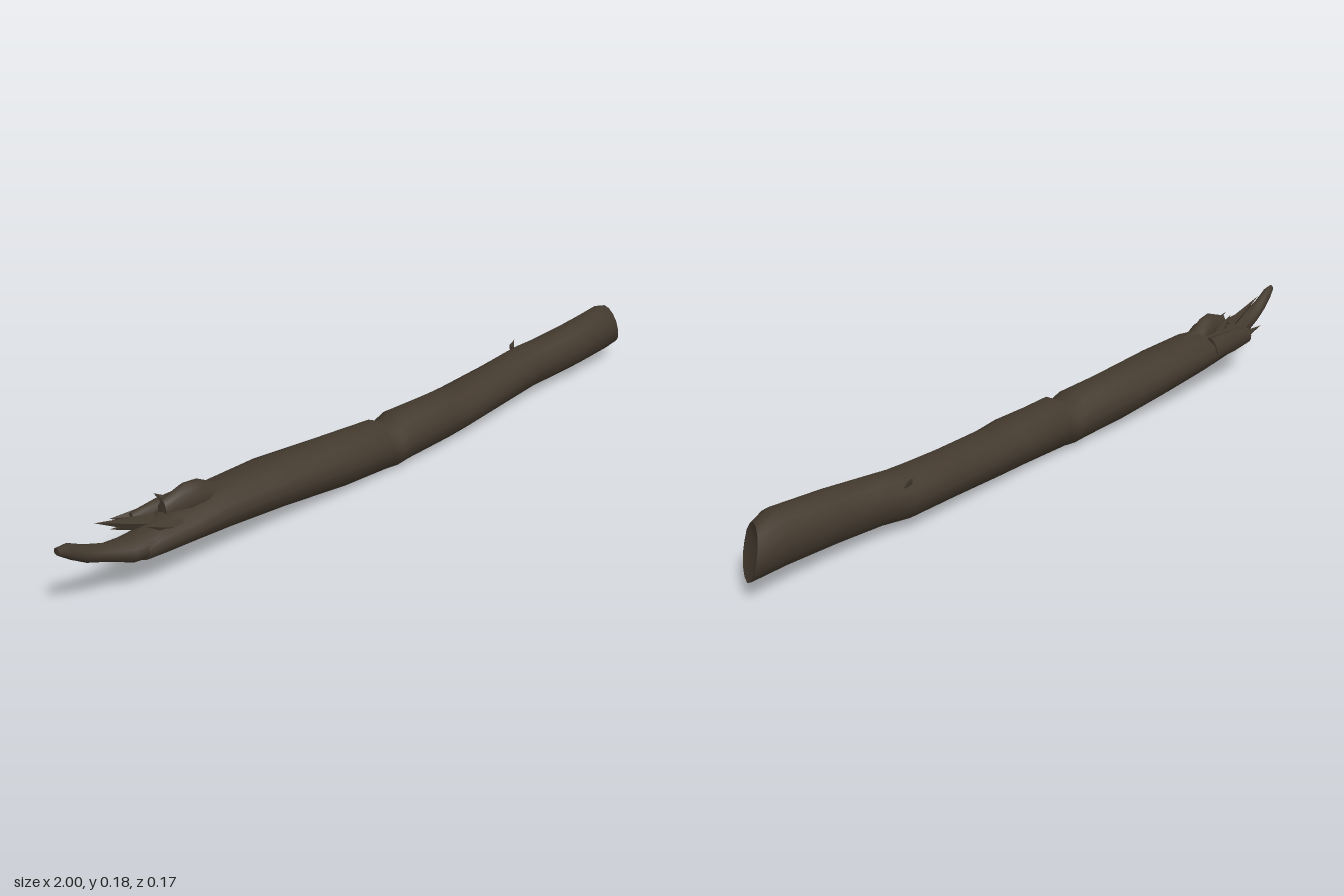
import * as THREE from 'three';

const bark = new THREE.MeshStandardMaterial({ color: 0x43392e });
bark.name = 'darkBark';
const SIDES = 14;

// Skin through cross-sections [x, bottom, top, back, front]; skew slants the right end
function loft(sections, { skew = 0, rough = 0, hollow = 0 } = {}) {
  const pos = [], idx = [], rows = sections.length;
  sections.forEach(([x, y0, y1, z0, z1], i) => {
    for (let j = 0; j < SIDES; j++) {
      const a = (j / SIDES) * Math.PI * 2, c = Math.cos(a), s = Math.sin(a);
      // gentle ripples on the upper half, smooth underside
      const r = 1 - rough * Math.max(0, s + 0.4) * (0.5 + 0.5 * Math.sin(i * 2.1 + j * 1.7)) * (s > 0.95 ? 0 : 1);
      const slant = i === rows - 1 ? skew * (c * 0.8 + s * 0.5) : 0;
      pos.push(x - slant, (y0 + y1) / 2 + s * r * (y1 - y0) / 2, (z0 + z1) / 2 + c * r * (z1 - z0) / 2);
    }
  });
  for (let i = 0; i < rows - 1; i++) {
    for (let j = 0; j < SIDES; j++) {
      const k = (j + 1) % SIDES, a = i * SIDES + j, b = i * SIDES + k;
      idx.push(a, a + SIDES, b + SIDES, a, b + SIDES, b);
    }
  }
  // End caps use their own vertices so the rim stays sharp
  for (const end of [0, rows - 1]) {
    const first = pos.length / 3, sum = [0, 0, 0];
    for (let j = 0; j < SIDES; j++) {
      const p = pos.slice((end * SIDES + j) * 3, (end * SIDES + j) * 3 + 3);
      pos.push(...p);
      p.forEach((v, n) => { sum[n] += v / SIDES; });
    }
    pos.push(sum[0] - (end ? hollow : 0), sum[1], sum[2]);
    for (let j = 0; j < SIDES; j++) {
      const a = first + j, b = first + (j + 1) % SIDES, c = first + SIDES;
      if (end) idx.push(c, b, a); else idx.push(c, a, b);
    }
  }
  const g = new THREE.BufferGeometry();
  g.setAttribute('position', new THREE.Float32BufferAttribute(pos, 3));
  g.setIndex(idx);
  g.computeVertexNormals();
  return g;
}

// Faceted wooden spike from a base point to a tip
function splinter(from, to, width, flat = 0.5) {
  const a = new THREE.Vector3(...from), b = new THREE.Vector3(...to);
  const dir = b.clone().sub(a), len = dir.length();
  const g = new THREE.ConeGeometry(width, len, 4).toNonIndexed();
  g.scale(1, 1, flat);
  g.translate(0, len / 2, 0);
  g.applyQuaternion(new THREE.Quaternion().setFromUnitVectors(new THREE.Vector3(0, 1, 0), dir.normalize()));
  g.translate(...from);
  g.computeVertexNormals();
  return g;
}

export function createModel() {
  const model = new THREE.Group();
  model.name = 'brokenLog';
  const add = (name, geometry) => {
    const m = new THREE.Mesh(geometry, bark);
    m.name = name;
    model.add(m);
  };

  // Curved trunk, with a notch in its top near the middle
  add('trunk', loft([
    [-0.8, 0.066, 0.125, -0.035, 0.046],
    [-0.74, 0.06, 0.132, -0.055, 0.052],
    [-0.66, 0.052, 0.138, -0.078, 0.055],
    [-0.56, 0.044, 0.15, -0.086, 0.06],
    [-0.4, 0.03, 0.147, -0.084, 0.065],
    [-0.2, 0.008, 0.14, -0.069, 0.072],
    [-0.06, 0.002, 0.131, -0.06, 0.076],
    [-0.02, 0, 0.113, -0.057, 0.078],
    [0.02, 0.002, 0.134, -0.055, 0.079],
    [0.18, 0.006, 0.13, -0.053, 0.081],
    [0.25, 0.009, 0.122, -0.055, 0.079],
    [0.42, 0.015, 0.13, -0.057, 0.07],
    [0.57, 0.02, 0.138, -0.062, 0.063],
    [0.64, 0.023, 0.142, -0.043, 0.066],
    [0.76, 0.028, 0.153, -0.038, 0.074],
    [0.9, 0.033, 0.164, -0.036, 0.074],
    [0.968, 0.036, 0.15, -0.036, 0.066],
  ], { skew: 0.034, rough: 0.07, hollow: 0.02 }));

  // Narrow tongue of wood curling up from the broken end
  add('brokenTongue', loft([
    [-1, 0.16, 0.177, -0.003, 0.014],
    [-0.97, 0.137, 0.174, -0.012, 0.016],
    [-0.93, 0.112, 0.153, -0.018, 0.018],
    [-0.88, 0.093, 0.134, -0.026, 0.024],
    [-0.83, 0.073, 0.128, -0.032, 0.042],
    [-0.76, 0.064, 0.128, -0.045, 0.048],
  ], { rough: 0.08 }));

  // Raised torn wood above the break
  add('tornRidge', loft([
    [-0.71, 0.1, 0.163, -0.03, 0.0],
    [-0.65, 0.1, 0.182, -0.035, 0.018],
    [-0.61, 0.1, 0.176, -0.04, 0.02],
    [-0.57, 0.1, 0.154, -0.045, 0.02],
    [-0.48, 0.1, 0.146, -0.03, 0.015],
  ], { rough: 0.15 }));

  // Torn back wall beside the break
  add('tornWall', loft([
    [-0.75, 0.085, 0.128, -0.086, -0.06],
    [-0.68, 0.075, 0.138, -0.087, -0.045],
    [-0.58, 0.07, 0.14, -0.086, -0.03],
  ], { rough: 0.15 }));

  // Splinters around the break, plus a small one on the back step
  [
    [[-0.74, 0.12, -0.015], [-0.885, 0.176, -0.02], 0.022],
    [[-0.72, 0.11, -0.075], [-0.795, 0.126, -0.088], 0.018],
    [[-0.66, 0.12, -0.03], [-0.71, 0.17, -0.04], 0.022],
    [[-0.7, 0.11, 0.03], [-0.79, 0.145, 0.025], 0.02],
    [[-0.72, 0.1, -0.05], [-0.83, 0.13, -0.045], 0.018],
    [[0.57, 0.118, -0.042], [0.612, 0.126, -0.064], 0.012],
  ].forEach(([from, to, width], i) => add('splinter' + (i + 1), splinter(from, to, width)));

  return model;
}
